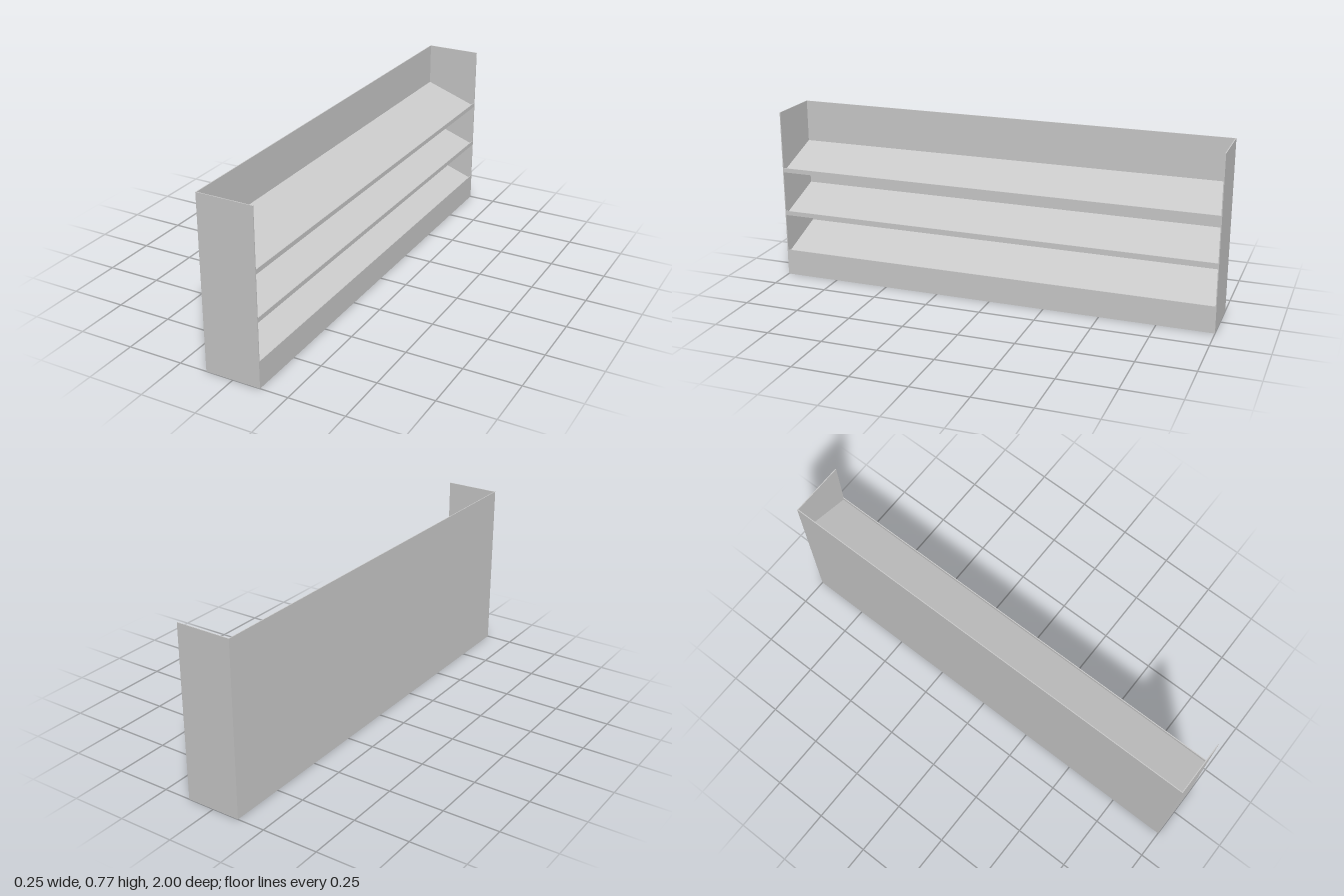
import * as THREE from 'three';

const H = 0.775, W = 0.25, L = 2, T = 0.004; // height, depth, length, sheet thickness
const X = W / 2;

export function createModel() {
  const group = new THREE.Group();
  const material = new THREE.MeshStandardMaterial({ color: 0xcccccc });

  const add = (name, geometry) => {
    const mesh = new THREE.Mesh(geometry, material);
    mesh.name = name;
    group.add(mesh);
    return mesh;
  };
  const box = (name, w, h, d, x, y, z) =>
    add(name, new THREE.BoxGeometry(w, h, d)).position.set(x, y, z);

  // Extrudes an (x, y) outline along the length between the end panels
  const extrude = (name, points) => {
    const shape = new THREE.Shape(points.map(([x, y]) => new THREE.Vector2(x, y)));
    const geometry = new THREE.ExtrudeGeometry(shape, { depth: L - 2 * T, bevelEnabled: false });
    add(name, geometry.translate(0, 0, -L / 2 + T));
  };

  // Casing
  box('backPanel', T, H, L - 2 * T, -X + T / 2, H / 2, 0);
  box('floorPanel', W - T, T, L - 2 * T, T / 2, T / 2, 0);
  box('frontPanel', T, 0.1 - T, L - 2 * T, X - T / 2, (0.1 + T) / 2, 0);
  for (const side of [1, -1]) {
    box(side > 0 ? 'frontEndPanel' : 'rearEndPanel', W, H, T, 0, H / 2, side * (L / 2 - T / 2));
  }

  // Sloping shelves, each with an upright lip along its low edge
  const rise = 0.09, lip = 0.02;
  for (const [name, y] of [['lowerShelf', 0.1], ['middleShelf', 0.29], ['upperShelf', 0.495]]) {
    extrude(name, [
      [X, y], [X, y + lip], [X - T, y + lip], [X - T, y + T],
      [-X + T, y + rise], [-X + T, y + rise - T],
    ]);
  }

  // Level panel closing the underside of the upper shelf
  box('upperShelfUnderside', W - 2 * T, T, L - 2 * T, 0, 0.495 + T / 2, 0);

  return group;
}
